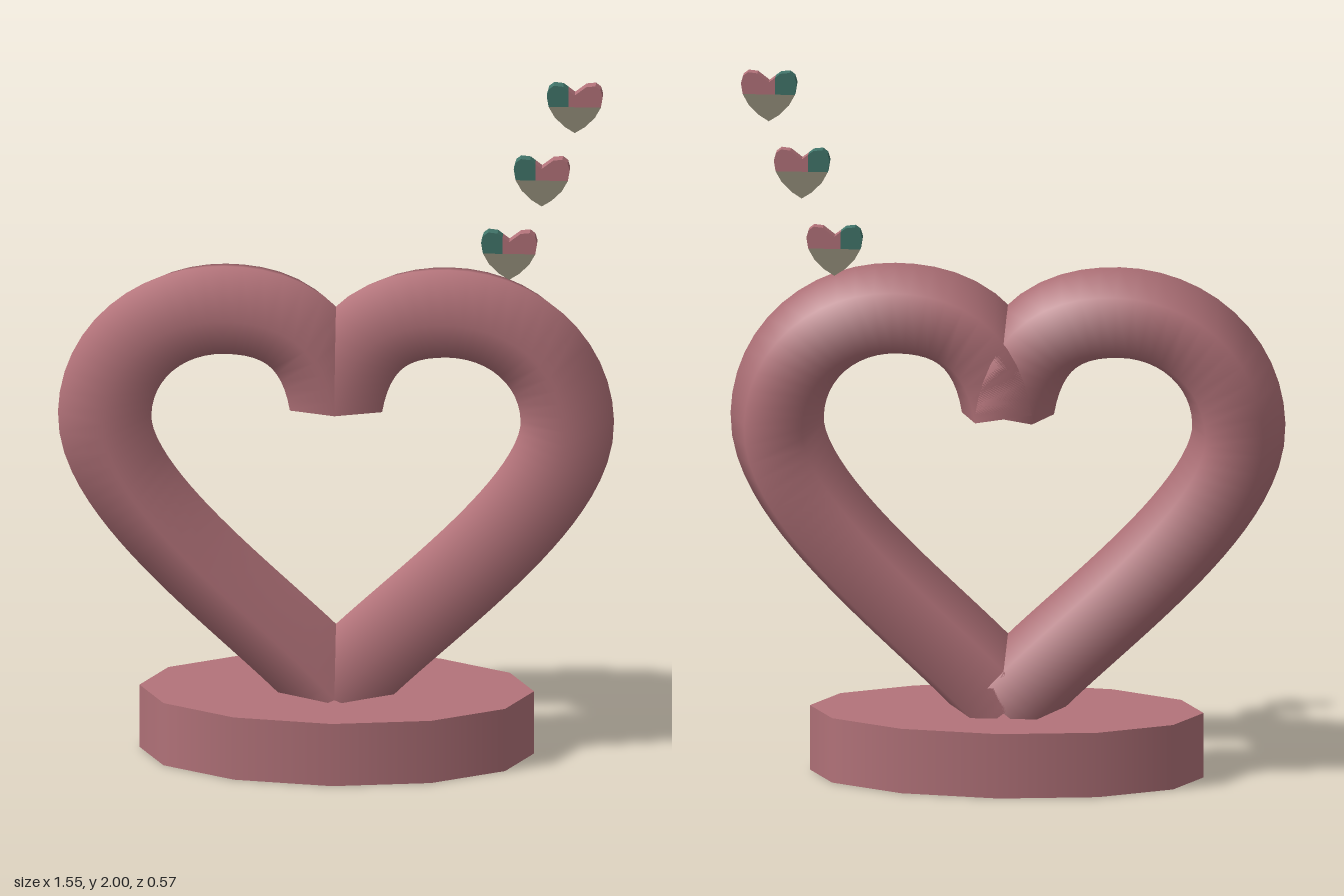
import * as THREE from 'three';

const mat = (name, color) => {
  const m = new THREE.MeshStandardMaterial({ color });
  m.name = name;
  return m;
};

export function createModel() {
  const rose = mat('rose', 0xb3737a);
  const teal = mat('teal', 0x41756a);
  const olive = mat('olive', 0x918b78);
  const model = new THREE.Group();
  const add = (parent, name, geo, material) => {
    const mesh = new THREE.Mesh(geo, material);
    mesh.name = name;
    parent.add(mesh);
    return mesh;
  };

  // Oval plinth with twelve sides
  const base = add(model, 'base', new THREE.CylinderGeometry(0.55, 0.55, 0.185, 12), rose);
  base.scale.z = 0.285 / 0.55;
  base.position.y = 0.0925;

  // Five-sided heart tube, one half per side
  const R = 0.137;
  for (const s of [1, -1]) {
    const p = (x, y) => new THREE.Vector3(s * x, y, 0);
    const path = new THREE.CurvePath();
    path.add(new THREE.CubicBezierCurve3(p(0, 1.045), p(0.03, 1.23), p(0.13, 1.32), p(0.31, 1.32)));
    path.add(new THREE.CubicBezierCurve3(p(0.31, 1.32), p(0.5, 1.32), p(0.645, 1.18), p(0.645, 1.0)));
    path.add(new THREE.CubicBezierCurve3(p(0.645, 1.0), p(0.645, 0.74), p(0.15, 0.39), p(0, 0.2)));
    const half = new THREE.Group();
    half.name = s > 0 ? 'heartLeftHalf' : 'heartRightHalf';
    add(half, 'heartTube', new THREE.TubeGeometry(path, 48, R, 5, false), rose);
    // Flat pentagon caps at both ends; the first corner points to the front
    for (const t of [0, 1]) {
      const out = path.getTangentAt(t).multiplyScalar(t ? 1 : -1);
      const cap = add(half, 'tubeCap', new THREE.CircleGeometry(R, 5, Math.PI / 2), rose);
      const up = new THREE.Vector3(0, 0, 1);
      const side = new THREE.Vector3().crossVectors(up, out);
      cap.quaternion.setFromRotationMatrix(new THREE.Matrix4().makeBasis(side, up, out));
      cap.position.copy(path.getPointAt(t));
    }
    model.add(half);
  }

  // Small floating hearts, each in three coloured pieces
  const slab = (pts) => new THREE.ExtrudeGeometry(
    new THREE.Shape(pts.map(([x, y]) => new THREE.Vector2(x, y))),
    { depth: 0.031, bevelEnabled: false });
  const lobeA = slab([[-0.073, 0.077], [-0.018, 0.077], [-0.018, 0.126], [-0.032, 0.137],
    [-0.058, 0.14], [-0.072, 0.129], [-0.078, 0.108]]);
  const lobeB = slab([[-0.018, 0.077], [0.073, 0.077], [0.078, 0.108], [0.072, 0.129],
    [0.058, 0.14], [0.032, 0.137], [0, 0.112], [-0.018, 0.126]]);
  const tip = slab([[0, 0], [0.028, 0.018], [0.056, 0.046], [0.073, 0.077],
    [-0.073, 0.077], [-0.056, 0.046], [-0.028, 0.018]]);
  [[0.482, 1.42], [0.573, 1.64], [0.665, 1.86]].forEach(([x, y], i) => {
    const heart = new THREE.Group();
    heart.name = 'smallHeart' + (i + 1);
    add(heart, 'tealLobe', lobeA, teal);
    add(heart, 'roseLobe', lobeB, rose);
    add(heart, 'heartTip', tip, [olive, rose]);
    heart.position.set(x, y, 0);
    model.add(heart);
  });

  return model;
}
